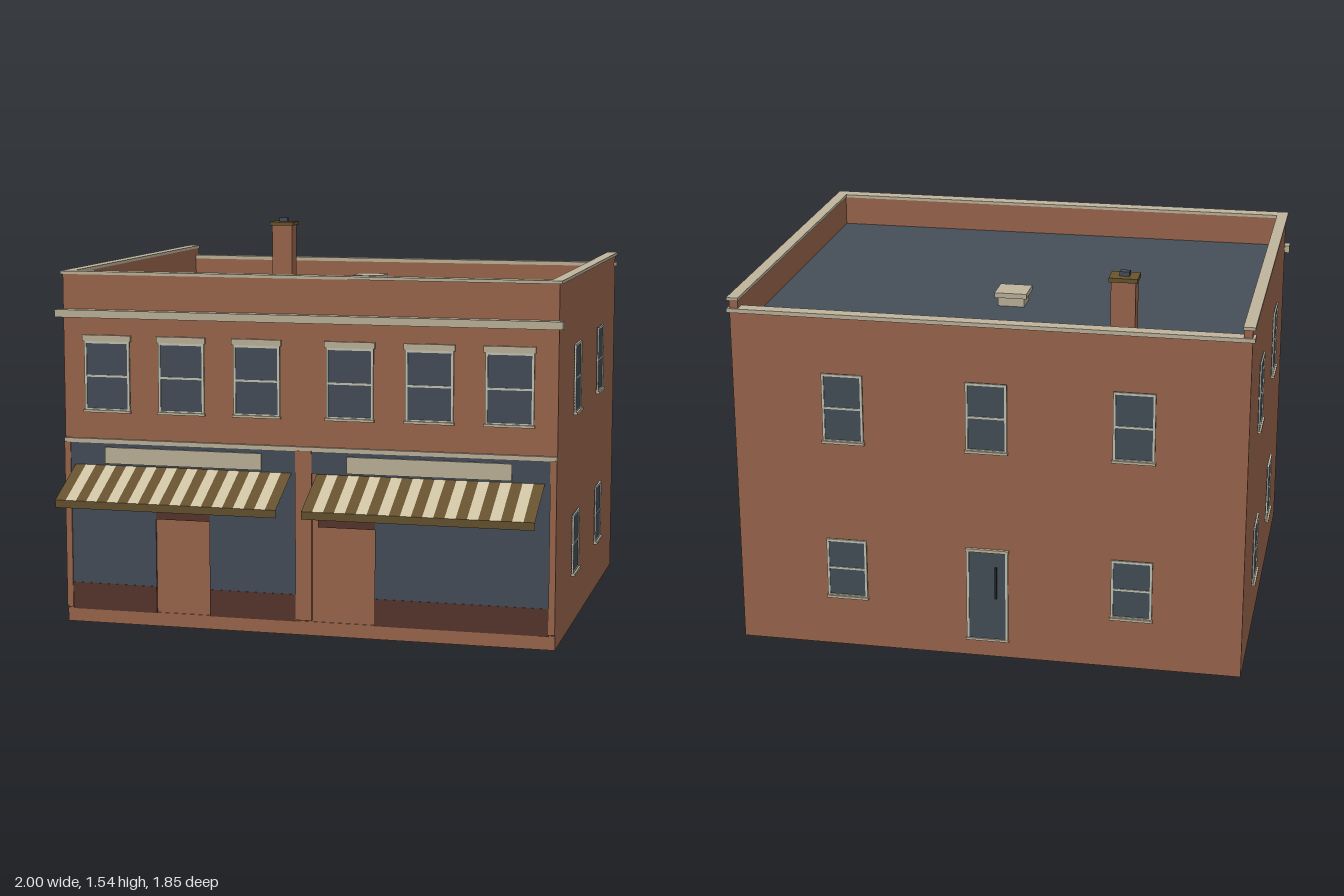
import * as THREE from 'three';

const mat = (name, color, side = THREE.FrontSide) => {
  const m = new THREE.MeshStandardMaterial({ color, side });
  m.name = name;
  return m;
};

export function createModel() {
  const brick = mat('brick', 0x9c674e);
  const slate = mat('slate glass', 0x454e59);
  const stone = mat('stone trim', 0xbfb49c);
  const frame = mat('window frame', 0xc6c6b4);
  const maroon = mat('maroon panel', 0x58352d);
  const bronze = mat('bronze', 0x69552f);
  const canvasDark = mat('dark canvas', 0x66522f, THREE.DoubleSide);
  const canvasLight = mat('light canvas', 0xcfc3a4, THREE.DoubleSide);
  const black = mat('door hardware', 0x22262b);

  const model = new THREE.Group();
  model.name = 'shopBuilding';

  // Box given by its min and max on each axis
  const box = (name, m, x0, x1, y0, y1, z0, z1, parent = model) => {
    const mesh = new THREE.Mesh(new THREE.BoxGeometry(x1 - x0, y1 - y0, z1 - z0), m);
    mesh.position.set((x0 + x1) / 2, (y0 + y1) / 2, (z0 + z1) / 2);
    mesh.name = name;
    parent.add(mesh);
    return mesh;
  };

  const F = 0.69, B = -0.907, W = 0.98, ROOF = 1.27;

  // Main walls and roof
  box('walls', brick, -W, W, 0, ROOF - 0.01, B, F);
  box('roof', slate, -0.945, 0.945, ROOF - 0.01, ROOF, -0.865, 0.635);

  // Parapet: high at the front and sides, lower at the back
  box('frontParapet', brick, -W, W, ROOF - 0.01, 1.388, 0.637, F);
  box('frontCoping', stone, -0.99, 0.99, 1.388, 1.4, 0.635, 0.695);
  box('backParapet', brick, -0.947, 0.947, ROOF - 0.01, 1.342, B, -0.867);
  box('backCoping', stone, -0.99, 0.99, 1.342, 1.358, -0.915, -0.862);
  for (const s of [-1, 1]) {
    const side = new THREE.Group();
    side.name = s > 0 ? 'leftParapet' : 'rightParapet';
    box('parapetWall', brick, -0.0165, 0.0165, ROOF - 0.01, 1.388, B, 0.637, side);
    box('coping', stone, -0.0225, 0.0225, 1.388, 1.4, -0.912, 0.635, side);
    side.position.x = s * 0.9635;
    side.children[1].position.x = s * 0.004;
    model.add(side);
  }

  // Front cornice and string course
  box('cornice', stone, -1, 1, 1.222, 1.252, F, 0.735);
  box('stringCourse', stone, -W, W, 0.725, 0.742, F, 0.702);

  // Window built facing +z, origin at the middle of its bottom edge
  const makeWindow = (w, h, lintel) => {
    const g = new THREE.Group();
    g.name = 'window';
    const a = w / 2, t = 0.009;
    box('glass', slate, -a, a, 0, h, 0, 0.004, g);
    for (const s of [-1, 1]) {
      const c = s * (a - t / 2);
      box('frameSide', frame, c - t / 2, c + t / 2, 0, h, 0, 0.008, g);
    }
    box('frameTop', frame, -a, a, h - t, h, 0, 0.008, g);
    box('frameBottom', frame, -a, a, 0, t, 0, 0.008, g);
    box('meetingRail', frame, -a, a, h / 2 - 0.004, h / 2 + 0.004, 0, 0.007, g);
    box('sill', stone, -a - 0.004, a + 0.004, -0.006, 0.004, 0, 0.015, g);
    if (lintel) box('lintel', stone, -a - 0.006, a + 0.006, h, h + 0.024, 0, 0.012, g);
    return g;
  };
  const place = (g, x, y, z, turn) => {
    g.position.set(x, y, z);
    g.rotation.y = turn;
    model.add(g);
  };

  for (const x of [-0.8, -0.495, -0.19, 0.18, 0.49, 0.797])
    place(makeWindow(0.186, 0.275, true), x, 0.853, F, 0);
  for (const [y, h] of [[0.85, 0.272], [0.207, 0.24]]) {
    for (const s of [-1, 1])
      for (const z of [0.212, -0.432])
        place(makeWindow(0.158, h, false), s * W, y, z, s * Math.PI / 2);
    for (const x of [-0.557, 0, 0.553])
      if (x !== 0 || y > 0.5) place(makeWindow(0.158, h, false), x, y, B, Math.PI);
  }

  // Back door
  const door = new THREE.Group();
  door.name = 'backDoor';
  box('doorLeaf', slate, -0.075, 0.075, 0.075, 0.44, 0, 0.005, door);
  for (const s of [-1, 1])
    box('doorJamb', frame, s * 0.076 - 0.005, s * 0.076 + 0.005, 0.07, 0.445, 0, 0.009, door);
  box('doorHead', stone, -0.084, 0.084, 0.44, 0.452, 0, 0.012, door);
  box('doorStep', stone, -0.084, 0.084, 0.068, 0.077, 0, 0.012, door);
  box('doorHandle', black, 0.03, 0.038, 0.25, 0.38, 0.005, 0.013, door);
  place(door, 0, 0, B, Math.PI);

  // Shopfront pilasters
  for (const [x0, x1] of [[-W, -0.955], [-0.035, 0.03], [0.955, W]])
    box('pilaster', brick, x0, x1, 0.06, 0.727, F, 0.703);
  box('plinth', brick, -W, W, 0, 0.055, F, 0.694);

  // Shop windows with panels below, and transoms over the doorways
  for (const [x0, x1] of [[-0.955, -0.605], [-0.385, -0.035], [0.28, 0.955]]) {
    box('shopGlass', slate, x0, x1, 0.16, 0.64, F, 0.697);
    box('stallRiser', maroon, x0, x1, 0.053, 0.16, F, 0.699);
  }
  for (const [x0, x1] of [[-0.605, -0.385], [0.055, 0.28]])
    box('doorTransom', maroon, x0, x1, 0.43, 0.64, F, 0.697);
  for (const [x0, x1] of [[-0.955, -0.035], [0.03, 0.955]])
    box('fascia', slate, x0, x1, 0.64, 0.725, F, 0.699);
  for (const s of [-1, 1])
    box('signBoard', stone, s * 0.49 - 0.32, s * 0.49 + 0.32, 0.645, 0.71, 0.699, 0.706);

  // Striped awnings: sloping strips plus a plain valance
  const strip = (name, m, x0, x1, y0, z0, y1, z1, parent) => {
    const g = new THREE.BufferGeometry();
    g.setAttribute('position', new THREE.Float32BufferAttribute(
      [x0, y0, z0, x0, y1, z1, x1, y1, z1, x1, y0, z0], 3));
    g.setIndex([0, 1, 2, 0, 2, 3]);
    g.computeVertexNormals();
    const mesh = new THREE.Mesh(g, m);
    mesh.name = name;
    parent.add(mesh);
  };
  for (const s of [-1, 1]) {
    const awning = new THREE.Group();
    awning.name = s > 0 ? 'leftAwning' : 'rightAwning';
    const n = 21, x0 = -0.4425, d = 0.885 / n;
    for (let i = 0; i < n; i++)
      strip('awningStripe', i % 2 ? canvasLight : canvasDark,
        x0 + i * d, x0 + (i + 1) * d, 0.638, 0.7, 0.533, 0.923, awning);
    strip('valance', canvasDark, x0, -x0, 0.533, 0.923, 0.503, 0.923, awning);
    awning.position.x = s * 0.4925;
    model.add(awning);
  }

  // Chimney
  box('chimneyStack', brick, -0.538, -0.446, ROOF, 1.508, -0.796, -0.72);
  box('chimneyCap', bronze, -0.546, -0.438, 1.508, 1.524, -0.806, -0.712);
  box('chimneyPot', slate, -0.512, -0.474, 1.524, 1.541, -0.774, -0.746);

  // Roof vent
  box('ventBase', stone, -0.052, 0.052, ROOF, ROOF + 0.035, -0.422, -0.318);
  box('ventLid', stone, -0.063, 0.063, ROOF + 0.035, ROOF + 0.055, -0.432, -0.308);

  return model;
}
